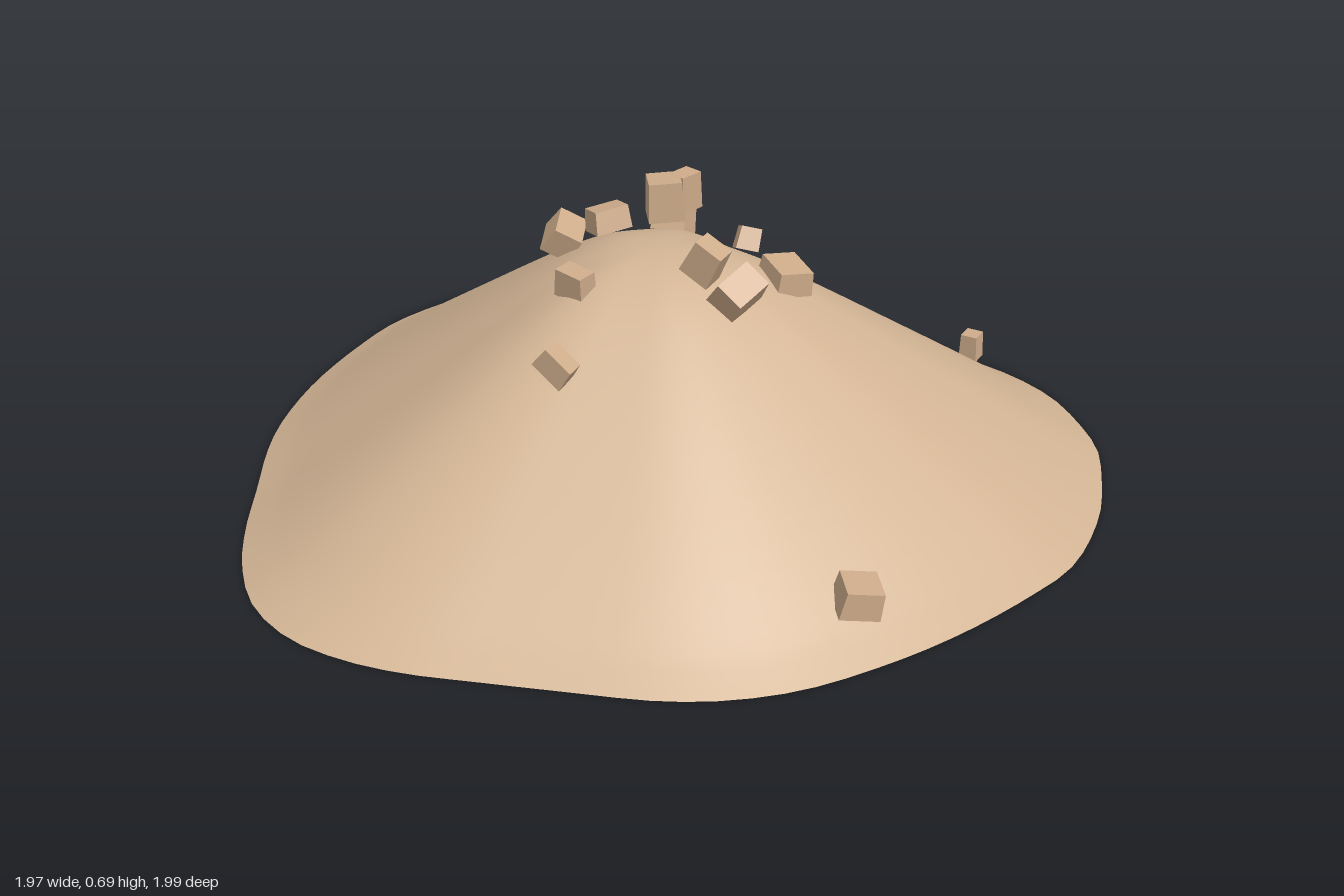
import * as THREE from 'three';

const earth = new THREE.MeshStandardMaterial({ color: 0xd2b494 });
earth.name = 'earth';
const stone = new THREE.MeshStandardMaterial({ color: 0xcdab8a });
stone.name = 'stone';

// Foot of the mound, [x, z], clockwise from the back
const FOOT = [
  [-0.25, -1], [-0.13, -0.99], [0.1, -0.94], [0.22, -0.925], [0.37, -0.91], [0.485, -0.895],
  [0.61, -0.85], [0.72, -0.77], [0.81, -0.68], [0.88, -0.555], [0.945, -0.4], [0.985, -0.185],
  [0.965, -0.03], [0.92, 0.16], [0.86, 0.33], [0.77, 0.51], [0.68, 0.62], [0.575, 0.705],
  [0.4, 0.8], [0.265, 0.87], [0.125, 0.94], [0, 0.98], [-0.13, 0.993], [-0.27, 0.96],
  [-0.395, 0.88], [-0.5, 0.78], [-0.615, 0.645], [-0.73, 0.51], [-0.805, 0.4], [-0.895, 0.21],
  [-0.96, -0.015], [-0.985, -0.185], [-0.94, -0.435], [-0.855, -0.57], [-0.71, -0.74],
  [-0.595, -0.85], [-0.5, -0.925], [-0.39, -0.985],
];
const APEX_Z = -0.03;
const SEG = 96, RINGS = 32;

// Slope from apex (0) to foot (1), as [fraction of radius, height]
const slope = new THREE.SplineCurve([
  [0, 0.525], [0.07, 0.521], [0.14, 0.507], [0.22, 0.475], [0.32, 0.42], [0.45, 0.34],
  [0.6, 0.245], [0.75, 0.15], [0.9, 0.055], [0.96, 0.021], [1, 0],
].map(([t, y]) => new THREE.Vector2(t, y)));

const footCurve = new THREE.CatmullRomCurve3(
  FOOT.map(([x, z]) => new THREE.Vector3(x, 0, z)), true);
const foot = footCurve.getSpacedPoints(SEG).slice(0, SEG);

function surface(positions, index) {
  const g = new THREE.BufferGeometry();
  g.setAttribute('position', new THREE.Float32BufferAttribute(positions, 3));
  g.setIndex(index);
  g.computeVertexNormals();
  return g;
}

// Rings of the foot outline shrinking towards the apex
function moundGeometry() {
  const pos = [0, 0.525, APEX_Z], index = [];
  for (let i = 1; i <= RINGS; i++) {
    const p = slope.getPoint(i / RINGS);
    for (const f of foot) pos.push(f.x * p.x, p.y, APEX_Z + (f.z - APEX_Z) * p.x);
  }
  for (let j = 0; j < SEG; j++) {
    const k = (j + 1) % SEG;
    index.push(0, 1 + k, 1 + j);
    for (let i = 0; i < RINGS - 1; i++) {
      const a = 1 + i * SEG, b = a + SEG;
      index.push(a + j, b + k, b + j, a + j, a + k, b + k);
    }
  }
  return surface(pos, index);
}

// Flat underside
function baseGeometry() {
  const pos = [0, 0, 0], index = [];
  foot.forEach((f, j) => {
    pos.push(f.x, 0, f.z);
    index.push(0, 1 + j, 1 + (j + 1) % SEG);
  });
  return surface(pos, index);
}

// Stones: position, size, rotation
const STONES = [
  [[0.01, 0.64, -0.05], [0.08, 0.09, 0.08], [0, 0.75, 0.05]],
  [[0.02, 0.64, -0.11], [0.05, 0.085, 0.06], [0.05, -0.15, 0]],
  [[-0.075, 0.6, 0.045], [0.065, 0.05, 0.085], [0.1, -0.45, 0.2]],
  [[-0.058, 0.495, 0.178], [0.08, 0.065, 0.05], [0.1, -0.06, -0.08]],
  [[-0.255, 0.495, -0.02], [0.075, 0.07, 0.09], [0.35, 0.5, -0.7]],
  [[0.05, 0.407, 0.37], [0.08, 0.055, 0.045], [0.1, 0.15, -0.7]],
  [[0.16, 0.545, 0], [0.075, 0.085, 0.055], [0.1, 0.1, -0.5]],
  [[0.25, 0.5, 0.005], [0.075, 0.08, 0.1], [0.35, -0.15, -0.6]],
  [[0.238, 0.462, -0.2], [0.1, 0.055, 0.09], [-0.15, -0.45, -0.25]],
  [[-0.205, 0.43, -0.375], [0.09, 0.065, 0.07], [-0.5, 0.15, 0.2]],
  [[-0.005, 0.42, -0.4], [0.055, 0.055, 0.06], [-0.5, 0.7, 0.1]],
  [[-0.3, 0.31, -0.505], [0.05, 0.05, 0.045], [-0.3, 0.45, 0.1]],
  [[0.42, 0.12, -0.77], [0.045, 0.065, 0.045], [0.05, 0.1, 0]],
  [[0.755, 0.095, 0.305], [0.085, 0.06, 0.08], [0.15, 0.78, -0.25]],
];

// Box with a slightly narrower, shifted top
function stoneGeometry([w, h, d], i) {
  const g = new THREE.BoxGeometry(w, h, d);
  const p = g.attributes.position;
  for (let v = 0; v < p.count; v++) {
    if (p.getY(v) < 0) continue;
    p.setX(v, p.getX(v) * 0.9 + w * 0.04 * Math.sin(i * 2.1));
    p.setZ(v, p.getZ(v) * 0.92 + d * 0.04 * Math.cos(i * 1.7));
  }
  g.computeVertexNormals();
  return g;
}

export function createModel() {
  const model = new THREE.Group();
  model.name = 'earthMound';
  const add = (name, geometry, material) => {
    const mesh = new THREE.Mesh(geometry, material);
    mesh.name = name;
    model.add(mesh);
    return mesh;
  };
  add('mound', moundGeometry(), earth);
  add('moundBase', baseGeometry(), earth);
  STONES.forEach(([pos, size, rot], i) => {
    const mesh = add(`stone${i + 1}`, stoneGeometry(size, i), stone);
    mesh.position.set(...pos);
    mesh.rotation.set(...rot);
  });
  return model;
}
